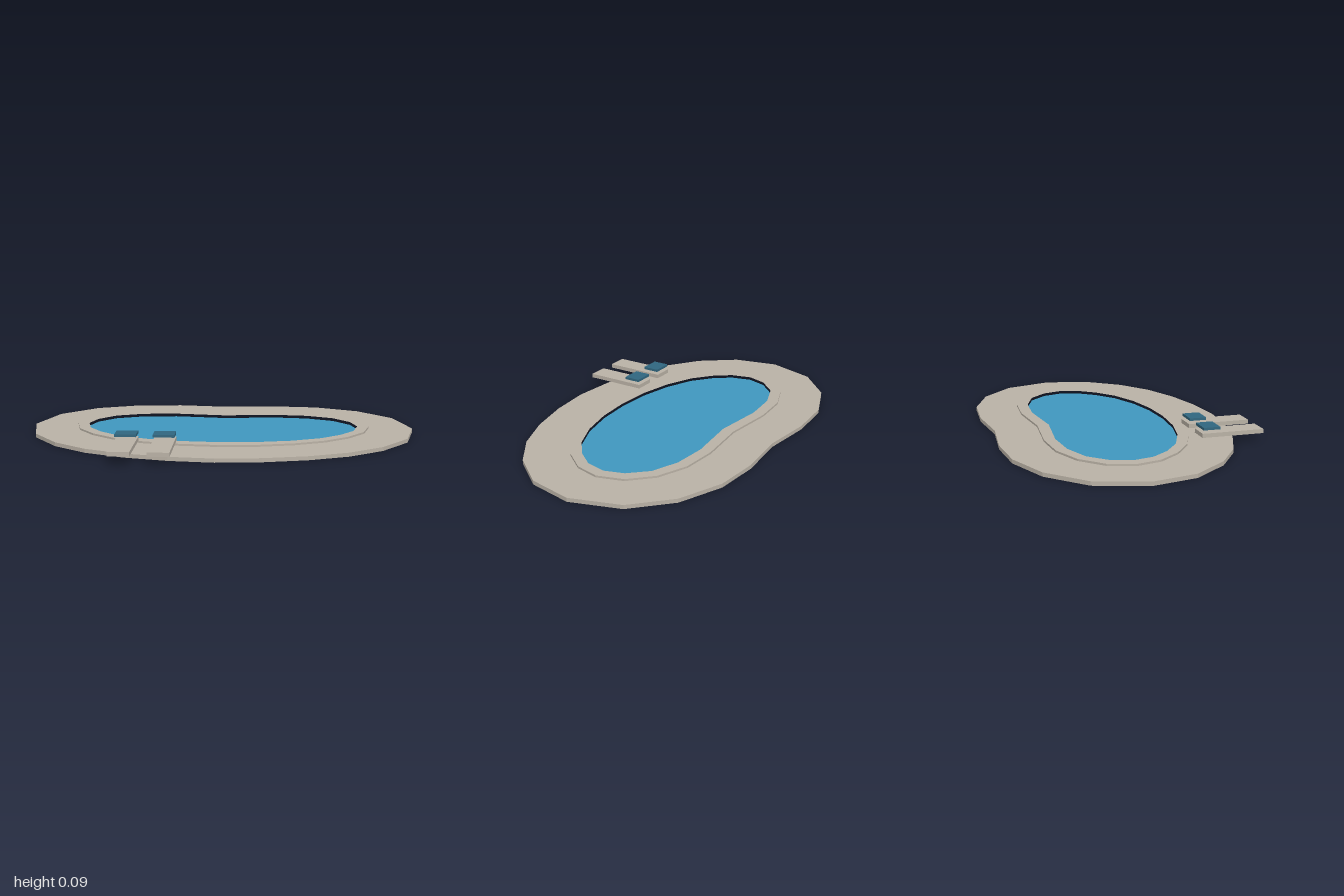
import * as THREE from 'three';

// Half outlines as [x, z], from the middle of the back round to the middle of the front
const deckEdge = [[0, -0.61], [0.27, -0.637], [0.51, -0.62], [0.74, -0.53], [0.92, -0.36], [1, -0.11],
  [0.95, 0.12], [0.81, 0.3], [0.64, 0.42], [0.44, 0.5], [0.22, 0.55], [0, 0.57]];
const copingEdge = [[0, -0.39], [0.27, -0.417], [0.46, -0.403], [0.62, -0.34], [0.73, -0.233], [0.77, -0.1],
  [0.738, 0.025], [0.65, 0.137], [0.53, 0.227], [0.375, 0.292], [0.198, 0.333], [0, 0.347]];
const waterEdge = [[0, -0.33], [0.27, -0.36], [0.45, -0.345], [0.593, -0.291], [0.68, -0.2], [0.711, -0.1],
  [0.685, 0.005], [0.615, 0.095], [0.513, 0.175], [0.363, 0.238], [0.187, 0.276], [0, 0.288]];

// Mirror a half outline into a full closed loop, ready to be laid flat
function loop(half) {
  const mirrored = half.slice(1, -1).reverse().map(([x, z]) => [-x, z]);
  return [...half, ...mirrored].map(([x, z]) => new THREE.Vector2(x, -z));
}

// Flat ring between two outlines, standing from y0 to y1
function ring(outer, inner, y0, y1) {
  const shape = new THREE.Shape(loop(outer));
  shape.holes.push(new THREE.Path(loop(inner)));
  return new THREE.ExtrudeGeometry(shape, { depth: y1 - y0, bevelEnabled: false })
    .rotateX(-Math.PI / 2).translate(0, y0, 0);
}

export function createModel() {
  const stone = new THREE.MeshStandardMaterial({ name: 'stone', color: 0xb9b1a5 });
  const water = new THREE.MeshStandardMaterial({ name: 'water', color: 0x3f97be, side: THREE.DoubleSide });
  const cushion = new THREE.MeshStandardMaterial({ name: 'cushion', color: 0x30667f });

  const model = new THREE.Group();
  model.name = 'swimmingPool';
  const add = (name, geometry, material, parent = model) => {
    const mesh = new THREE.Mesh(geometry, material);
    mesh.name = name;
    parent.add(mesh);
    return mesh;
  };

  // Paved surround, raised rim and water surface
  add('deck', ring(deckEdge, copingEdge, 0, 0.02), stone);
  add('coping', ring(copingEdge, waterEdge, 0.008, 0.03), stone);
  const surface = new THREE.ShapeGeometry(new THREE.Shape(loop(waterEdge)));
  add('waterSurface', surface.rotateX(-Math.PI / 2).translate(0, 0.015, 0), water);

  // Two sun loungers with headrests at the pool end
  for (const x of [-0.442, -0.255]) {
    const lounger = new THREE.Group();
    lounger.name = 'lounger';
    lounger.position.x = x;
    add('loungerBed', new THREE.BoxGeometry(0.106, 0.021, 0.32), stone, lounger).position.set(0, 0.052, 0.479);
    add('headrest', new THREE.BoxGeometry(0.106, 0.013, 0.086), cushion, lounger).position.set(0, 0.085, 0.367);
    model.add(lounger);
  }
  return model;
}
